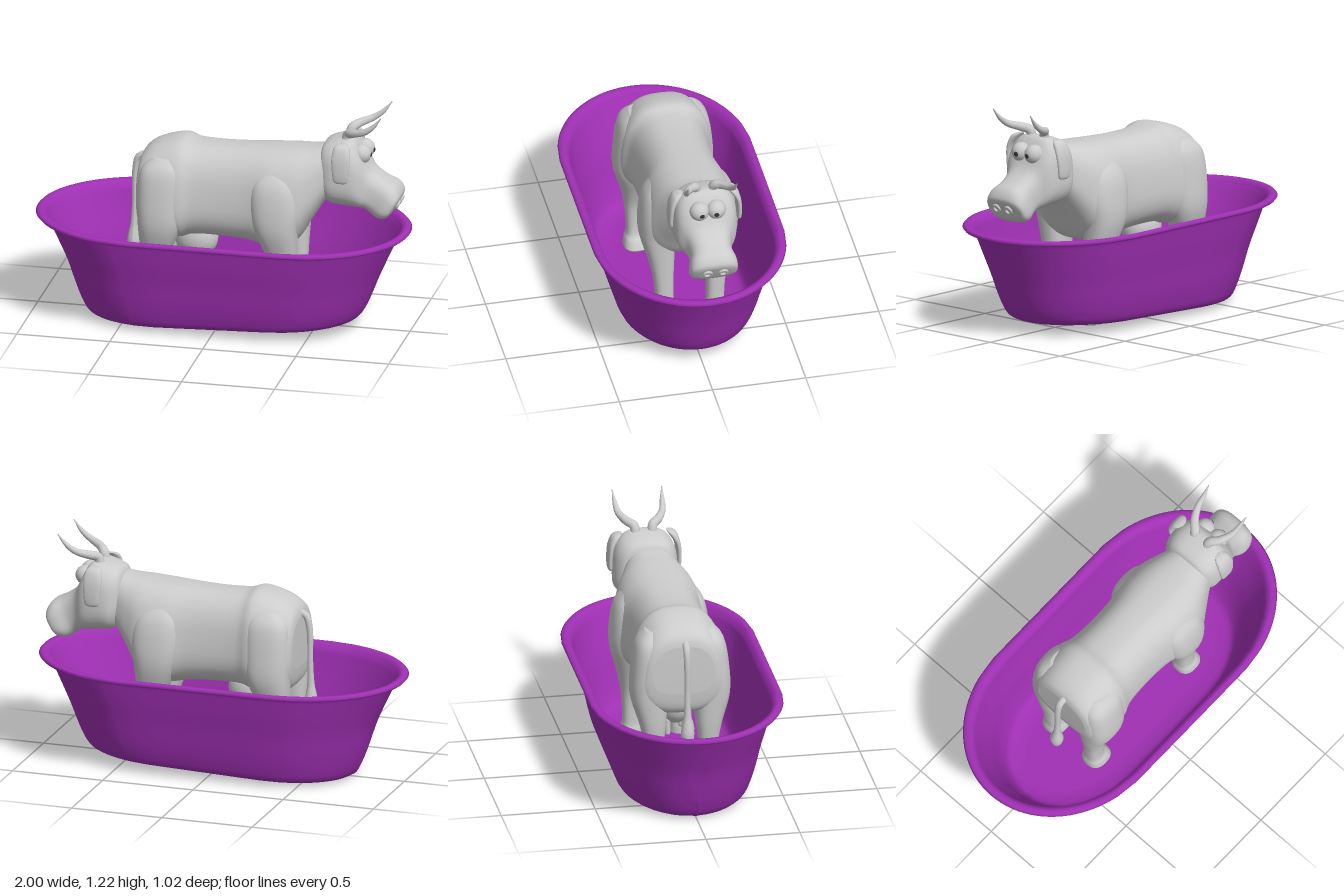
import * as THREE from 'three';

const V = (x, y, z) => new THREE.Vector3(x, y, z);
const grey = new THREE.MeshStandardMaterial({ color: 0xcccccc, side: THREE.DoubleSide });
const dark = new THREE.MeshStandardMaterial({ color: 0x333333 });
const purple = new THREE.MeshStandardMaterial({ color: 0xa030b4, side: THREE.DoubleSide });

function add(parent, name, geometry, material = grey) {
  const mesh = new THREE.Mesh(geometry, material);
  mesh.name = name;
  parent.add(mesh);
  return mesh;
}

// Skin closed rings of points, with fan caps where asked
function skin(rings, capStart = true, capEnd = true) {
  const n = rings[0].length, pos = [], idx = [];
  rings.forEach(r => r.forEach(p => pos.push(p.x, p.y, p.z)));
  for (let i = 0; i < rings.length - 1; i++) for (let j = 0; j < n; j++) {
    const k = (j + 1) % n, a = i * n + j, b = i * n + k, c = b + n, d = a + n;
    idx.push(a, b, d, b, c, d);
  }
  const cap = (i, flip) => {
    const m = rings[i].reduce((s, p) => s.add(p), V(0, 0, 0)).divideScalar(n);
    const q = pos.push(m.x, m.y, m.z) / 3 - 1;
    for (let j = 0; j < n; j++) {
      const a = i * n + j, b = i * n + (j + 1) % n;
      flip ? idx.push(q, b, a) : idx.push(q, a, b);
    }
  };
  if (capStart) cap(0, true);
  if (capEnd) cap(rings.length - 1, false);
  const g = new THREE.BufferGeometry();
  g.setAttribute('position', new THREE.Float32BufferAttribute(pos, 3));
  g.setIndex(idx);
  g.computeVertexNormals();
  return g;
}

// Interpolate rows of section numbers with a smooth spline
function refine(rows, steps = 5) {
  const out = [], at = i => rows[Math.max(0, Math.min(rows.length - 1, i))];
  for (let i = 0; i < rows.length - 1; i++) for (let s = 0; s < steps; s++) {
    const t = s / steps;
    out.push(rows[i].map((b, k) => {
      const a = at(i - 1)[k], c = at(i + 1)[k], d = at(i + 2)[k];
      return b + 0.5 * t * (c - a + t * (2 * a - 5 * b + 4 * c - d + t * (3 * (b - c) + d - a)));
    }));
  }
  return [...out, rows[rows.length - 1]];
}

// Superellipse ring; taper narrows the half where u is positive
function ring(c, u, v, power = 0.8, taper = 0, n = 40) {
  const f = w => Math.sign(w) * Math.abs(w) ** power;
  return Array.from({ length: n }, (_, j) => {
    const a = j / n * Math.PI * 2, p = f(Math.cos(a)), q = f(Math.sin(a)) * (1 - taper * p);
    return c.clone().addScaledVector(u, p).addScaledVector(v, q);
  });
}

// Lengthwise form, rows: top x, top y, bottom x, bottom y, half width
const lengthwise = (rows, power, taper) => skin(refine(rows).map(([tx, ty, bx, by, w]) =>
  ring(V((tx + bx) / 2, (ty + by) / 2, 0), V((tx - bx) / 2, (ty - by) / 2, 0), V(0, 0, w), power, taper)));

// Upright form from top to bottom, rows: y, x, z, half x, half z
const upright = (rows, side, power) => skin(refine(rows).map(([y, x, z, hx, hz]) =>
  ring(V(x, y, z * side), V(hx, 0, 0), V(0, 0, hz), power, 0, 28)));

// Tube whose radius follows a list of values
function taperedTube(points, radii) {
  const path = new THREE.CatmullRomCurve3(points), seg = 32, rad = 12;
  const g = new THREE.TubeGeometry(path, seg, 1, rad), p = g.attributes.position;
  const rs = refine(radii.map(r => [r]), 8);
  for (let i = 0; i <= seg; i++) {
    const c = path.getPointAt(i / seg), r = rs[Math.round(i / seg * (rs.length - 1))][0];
    for (let j = 0; j <= rad; j++) {
      const k = i * (rad + 1) + j, q = V().fromBufferAttribute(p, k).sub(c).multiplyScalar(r).add(c);
      p.setXYZ(k, q.x, q.y, q.z);
    }
  }
  g.computeVertexNormals();
  return g;
}

function makeTub() {
  // rows: y, length to the back end, length to the head end, half width, floor tilt
  const rim = [[0.535, 0.94, 0.94, 0.455, 0], [0.56, 0.95, 0.95, 0.468, 0], [0.566, 0.97, 0.97, 0.485, 0],
    [0.563, 0.99, 0.99, 0.503, 0], [0.552, 1, 1, 0.51, 0], [0.541, 0.99, 0.99, 0.503, 0], [0.536, 0.945, 0.945, 0.462, 0]];
  const wall = [[0.53, 0.94, 0.94, 0.455, 0], [0.42, 0.888, 0.888, 0.433, 0], [0.3, 0.833, 0.835, 0.405, 0],
    [0.19, 0.795, 0.795, 0.382, 0.01], [0.11, 0.767, 0.763, 0.36, 0.02], [0.055, 0.735, 0.73, 0.335, 0.032],
    [0.036, 0.7, 0.69, 0.285, 0.037], [0.03, 0.66, 0.65, 0.24, 0.038]];
  const rings = [...rim, ...refine(wall, 4)].map(([y, back, head, w, tilt]) =>
    Array.from({ length: 96 }, (_, j) => {
      const a = j / 96 * Math.PI * 2, c = Math.cos(a), len = c < 0 ? back : head;
      // straight sides with elliptical ends
      const x = len * (0.6 * c + 0.4 * Math.max(-1, Math.min(1, c * 4)));
      return V(x, y + tilt * x, w * Math.sin(a));
    }));
  // straight sides: hold the full width along the middle
  rings.forEach(r => {
    const w = Math.max(...r.map(p => p.z)), l = Math.max(...r.map(p => p.x));
    r.forEach(p => {
      const t = Math.max(0, Math.abs(p.x) / l - 0.4) / 0.6;
      p.z = Math.sign(p.z) * w * Math.sqrt(Math.max(0, 1 - t * t));
    });
  });
  return skin(rings, false, true);
}

export function createModel() {
  const model = new THREE.Group();
  add(model, 'bathtub', makeTub(), purple);

  const cow = new THREE.Group();
  cow.name = 'cow';
  cow.position.z = -0.015;
  model.add(cow);

  // Trunk with rump, shoulders and neck
  const trunk = [[-0.44, 0.86, 0.6, 0.16], [-0.42, 0.915, 0.5, 0.205], [-0.35, 0.965, 0.46, 0.23], [-0.22, 1.0, 0.46, 0.24],
    [-0.14, 0.98, 0.48, 0.215], [0, 0.975, 0.48, 0.205], [0.15, 0.98, 0.47, 0.21], [0.28, 0.987, 0.45, 0.235],
    [0.4, 0.995, 0.48, 0.225], [0.48, 1.0, 0.6, 0.185], [0.55, 1.01, 0.71, 0.145], [0.6, 1.01, 0.76, 0.13]];
  add(cow, 'trunk', lengthwise(trunk.map(([x, t, b, w]) => [x, t, x, b, w]), 0.75, 0.12));

  // Head from nape to muzzle
  const head = new THREE.Group();
  head.name = 'head';
  head.position.z = -0.015;
  cow.add(head);
  add(head, 'skull', lengthwise([[0.53, 1.0, 0.525, 0.82, 0.1], [0.55, 1.035, 0.54, 0.76, 0.14], [0.61, 1.06, 0.58, 0.71, 0.168],
    [0.69, 1.07, 0.66, 0.695, 0.168], [0.74, 1.01, 0.725, 0.69, 0.155], [0.79, 0.91, 0.765, 0.68, 0.122],
    [0.86, 0.855, 0.79, 0.66, 0.112], [0.925, 0.82, 0.83, 0.635, 0.127], [0.953, 0.775, 0.875, 0.638, 0.122],
    [0.95, 0.745, 0.905, 0.665, 0.085]], 0.7, 0.05));

  for (const s of [1, -1]) {
    const side = s > 0 ? 'right' : 'left';
    add(head, side + 'Eye', new THREE.SphereGeometry(0.052, 28, 20)).position.set(0.742, 0.983, s * 0.045);
    add(head, side + 'Pupil', new THREE.SphereGeometry(0.017, 16, 12), dark).position.set(0.781, 0.98, s * 0.04);

    // Nostril rim on the slanted nose
    const nostril = add(head, side + 'Nostril', new THREE.TorusGeometry(0.02, 0.007, 10, 24));
    nostril.position.set(0.938, 0.712, s * 0.042);
    nostril.rotation.set(0, Math.PI / 2, 0);
    nostril.rotateX(0.45);

    add(head, side + 'Ear', upright([[1.062, 0.66, 0.13, 0.02, 0.012], [1.045, 0.66, 0.15, 0.042, 0.022],
      [0.99, 0.66, 0.176, 0.05, 0.016], [0.92, 0.66, 0.184, 0.045, 0.014], [0.87, 0.66, 0.183, 0.038, 0.012],
      [0.857, 0.66, 0.18, 0.022, 0.006]], s));

    add(head, side + 'Horn', taperedTube([V(0.66, 1.05, s * 0.045), V(0.672, 1.09, s * 0.05), V(0.705, 1.107, s * 0.085),
      V(0.77, 1.13, s * 0.118), V(0.82, 1.165, s * 0.126), V(0.866, 1.22, s * 0.132)], [0.026, 0.024, 0.019, 0.013, 0.003]));

    // Legs from thigh to hoof
    add(cow, side + 'HindLeg', upright([[0.92, -0.29, 0.13, 0.06, 0.05], [0.85, -0.3, 0.15, 0.115, 0.085],
      [0.7, -0.305, 0.16, 0.125, 0.1], [0.55, -0.31, 0.165, 0.115, 0.098], [0.4, -0.335, 0.15, 0.08, 0.07],
      [0.28, -0.345, 0.145, 0.055, 0.052], [0.13, -0.34, 0.14, 0.05, 0.048], [0.08, -0.33, 0.14, 0.065, 0.06],
      [0.035, -0.32, 0.14, 0.075, 0.068]], s));
    add(cow, side + 'FrontLeg', upright([[0.9, 0.3, 0.13, 0.06, 0.05], [0.82, 0.305, 0.15, 0.12, 0.085],
      [0.7, 0.31, 0.16, 0.135, 0.1], [0.57, 0.315, 0.165, 0.115, 0.095], [0.42, 0.34, 0.15, 0.08, 0.07],
      [0.28, 0.36, 0.14, 0.055, 0.052], [0.13, 0.365, 0.135, 0.05, 0.048], [0.08, 0.375, 0.135, 0.065, 0.06],
      [0.035, 0.385, 0.135, 0.075, 0.068]], s));
  }

  // Udder with four teats
  const udder = add(cow, 'udder', new THREE.SphereGeometry(0.1, 28, 20));
  udder.scale.set(1.15, 1.2, 0.95);
  udder.position.set(-0.15, 0.44, 0);
  for (const x of [-0.2, -0.1]) for (const z of [-0.045, 0.045])
    add(cow, 'teat', new THREE.CapsuleGeometry(0.015, 0.07, 6, 12)).position.set(x, 0.315, z);

  // Tail with a tuft at the end
  add(cow, 'tail', taperedTube([V(-0.4, 0.88, 0.01), V(-0.455, 0.865, 0.01), V(-0.475, 0.8, 0.01), V(-0.48, 0.6, 0.01),
    V(-0.485, 0.42, 0.01), V(-0.485, 0.26, 0.01)], [0.02, 0.018, 0.016, 0.016, 0.02, 0.036, 0.004]));
  return model;
}
